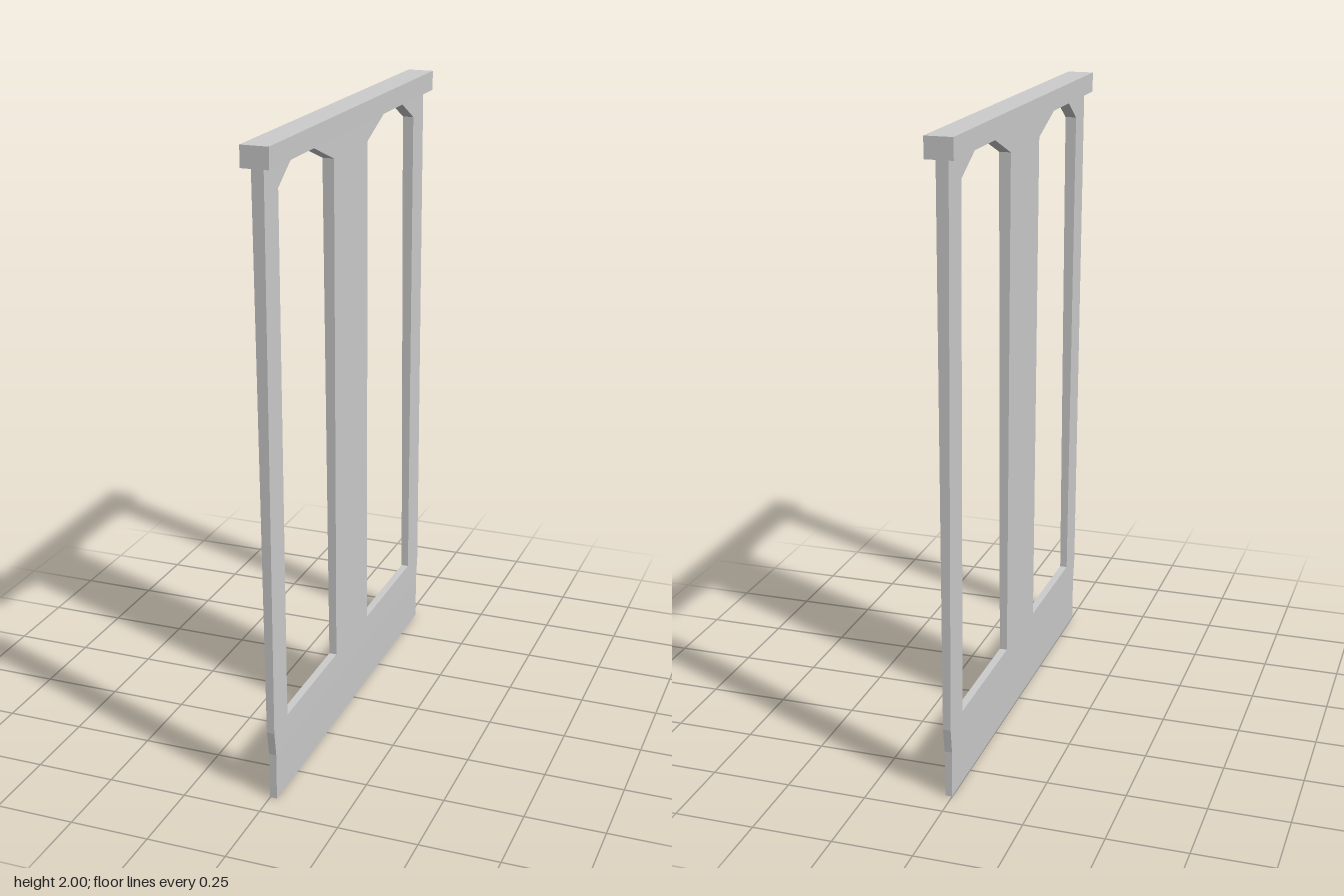
import * as THREE from 'three';

const material = new THREE.MeshStandardMaterial({ color: 0xcccccc, flatShading: true });

export function createModel() {
  const group = new THREE.Group();

  // Panel outline as (-z, y); both openings run up to the top rail
  const outline = [
    [-0.668, 0], [0.663, 0], [0.663, 0.15], [0.675, 0.23], [0.675, 1.94],
    // rear opening
    [0.43, 1.94], [0.573, 1.865], [0.567, 0.24], [0.13, 0.24], [0.13, 1.865], [0.318, 1.94],
    // front opening
    [-0.36, 1.94], [-0.16, 1.865], [-0.16, 0.24], [-0.577, 0.24], [-0.583, 1.865], [-0.467, 1.94],
    [-0.68, 1.94], [-0.68, 0.23], [-0.668, 0.15],
  ];
  const shape = new THREE.Shape(outline.map(([u, v]) => new THREE.Vector2(u, v)));
  const geometry = new THREE.ExtrudeGeometry(shape, { depth: 1, bevelEnabled: false });
  geometry.rotateY(Math.PI / 2);

  // Lean and thicken the panel towards the top
  const pos = geometry.attributes.position;
  for (let i = 0; i < pos.count; i++) {
    const y = pos.getY(i);
    const outer = 0.022 - 0.004 * Math.max(0, y - 0.2) / 1.74;
    const inner = -0.019 * y / 1.94;
    pos.setX(i, pos.getX(i) > 0.5 ? outer : inner);
  }
  geometry.computeVertexNormals();
  const panel = new THREE.Mesh(geometry, material);
  panel.name = 'framePanel';
  group.add(panel);

  // Top rail
  const rail = new THREE.Mesh(new THREE.BoxGeometry(0.085, 0.063, 1.4), material);
  rail.name = 'topRail';
  rail.position.y = 2 - 0.063 / 2;
  group.add(rail);

  return group;
}
